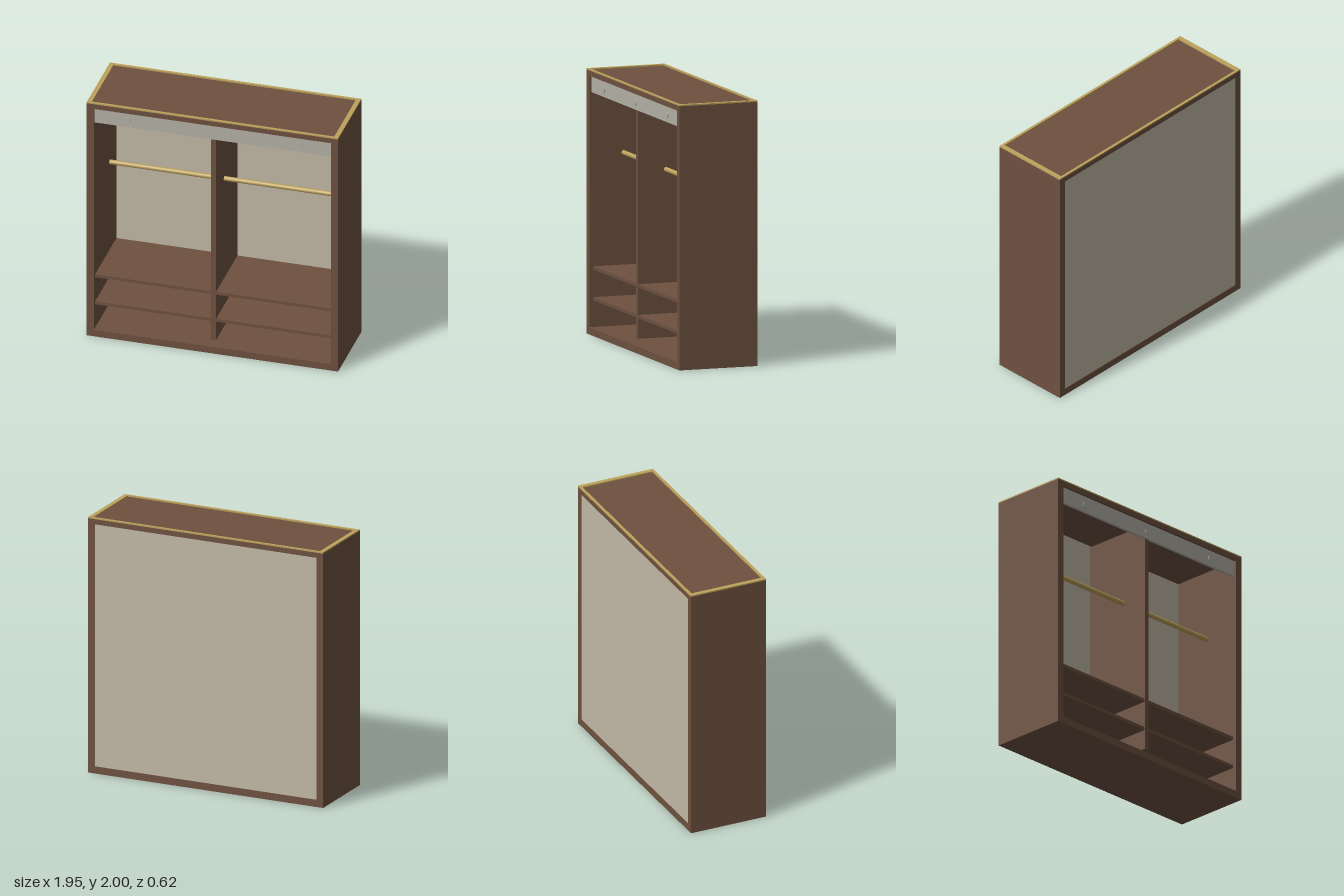
import * as THREE from 'three';

const material = (name, color) => {
  const m = new THREE.MeshStandardMaterial({ color });
  m.name = name;
  return m;
};

export function createModel() {
  const wood = material('walnut', 0x6e5140);
  const brass = material('brass', 0xbda25c);
  const panel = material('beige panel', 0xc2b9a7);
  const grey = material('warm grey', 0xb5b1a6);

  const model = new THREE.Group();
  model.name = 'wardrobe';

  // Box given by its limits on each axis
  const box = (name, mat, [x0, x1], [y0, y1], [z0, z1]) => {
    const mesh = new THREE.Mesh(new THREE.BoxGeometry(x1 - x0, y1 - y0, z1 - z0), mat);
    mesh.position.set((x0 + x1) / 2, (y0 + y1) / 2, (z0 + z1) / 2);
    mesh.name = name;
    model.add(mesh);
  };

  const W = 0.975, D = 0.31, IN = 0.92;

  // Carcass
  box('bottomPanel', wood, [-W, W], [0, 0.055], [-D, D]);
  box('topPanel', wood, [-W, W], [1.95, 1.99], [-D, D]);
  box('rightSide', wood, [-W, -IN], [0.055, 1.95], [-D, D]);
  box('leftSide', wood, [IN, W], [0.055, 1.95], [-D, D]);
  box('backPanel', panel, [-IN, IN], [0.055, 1.95], [-0.305, -0.293]);

  // Interior
  box('divider', wood, [-0.019, 0.019], [0.1, 1.94], [-0.293, 0.28]);
  for (const y of [0.255, 0.487]) box('shelf', wood, [-IN, IN], [y, y + 0.025], [-0.293, 0.275]);

  // Hanging rods, one in each bay
  for (const side of [-1, 1]) {
    const rod = new THREE.Mesh(new THREE.CylinderGeometry(0.018, 0.018, 0.87, 24), brass);
    rod.rotation.z = Math.PI / 2;
    rod.position.set(side * 0.435, 1.365, 0.055);
    rod.name = 'hangingRod';
    model.add(rod);
  }

  // Fascia with three round buttons
  box('fascia', grey, [-IN, IN], [1.825, 1.95], [0.27, 0.292]);
  for (const x of [-0.665, 0, 0.665]) {
    const button = new THREE.Mesh(new THREE.CylinderGeometry(0.028, 0.028, 0.012, 24), grey);
    button.rotation.x = Math.PI / 2;
    button.position.set(x, 1.88, 0.292);
    button.name = 'fasciaButton';
    model.add(button);
  }

  // Brass trim around the top edge
  for (const s of [-1, 1]) {
    const span = (a, b) => (s > 0 ? [a, b] : [-b, -a]);
    box('sideTrim', brass, span(0.94, W), [1.99, 2], [-D, D]);
    box('longTrim', brass, [-0.94, 0.94], [1.99, 2], span(0.29, D));
  }

  return model;
}
